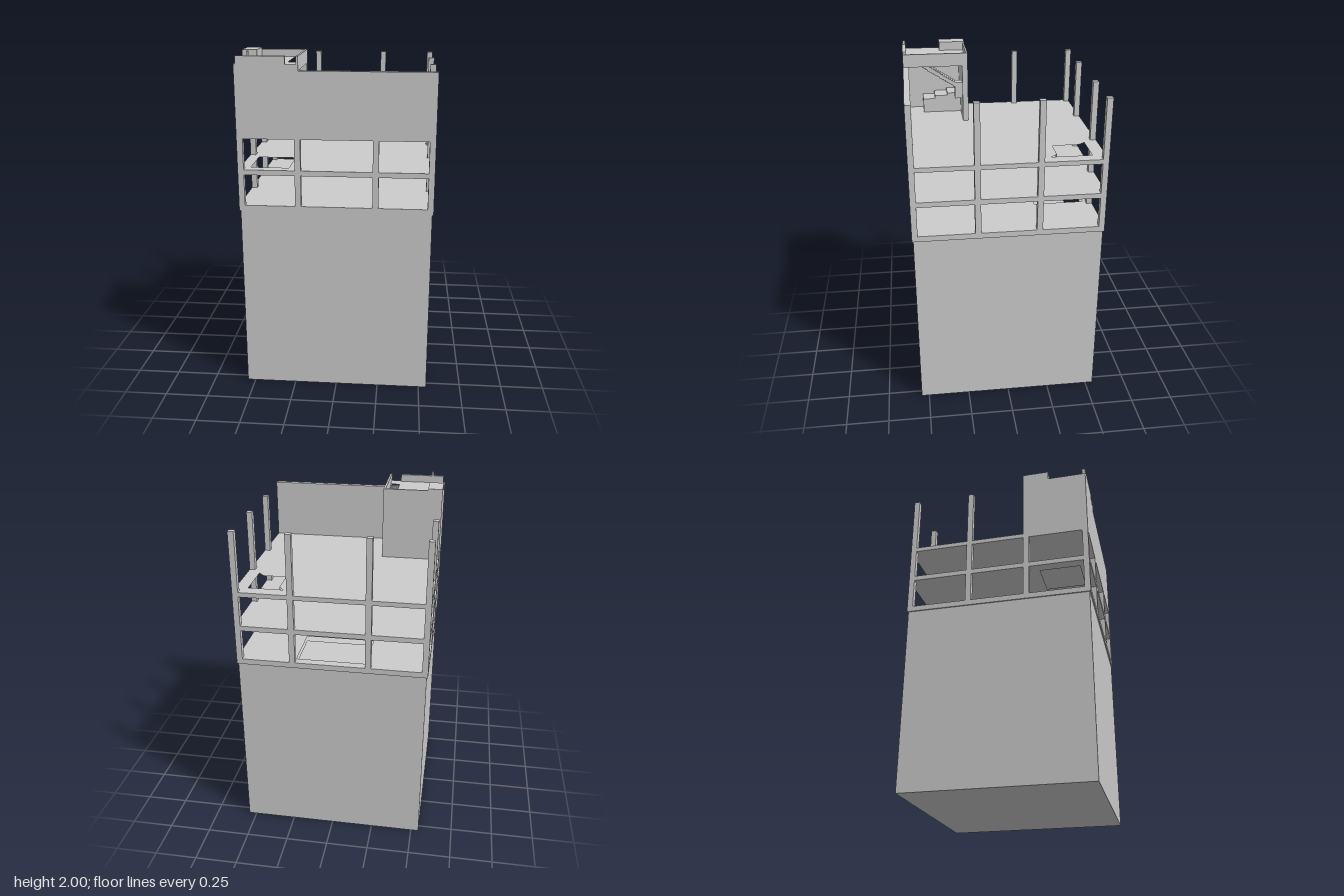
import * as THREE from 'three';

const material = new THREE.MeshStandardMaterial({ color: 0xcccccc, flatShading: true });

export function createModel() {
  const model = new THREE.Group();
  model.name = 'unfinishedBuilding';

  const add = (name, geometry, parent = model) => {
    const mesh = new THREE.Mesh(geometry, material);
    mesh.name = name;
    parent.add(mesh);
    return mesh;
  };

  // Box given by its limits on each axis
  const box = (name, x0, x1, y0, y1, z0, z1, parent) => {
    const g = new THREE.BoxGeometry(x1 - x0, y1 - y0, z1 - z0);
    g.translate((x0 + x1) / 2, (y0 + y1) / 2, (z0 + z1) / 2);
    return add(name, g, parent);
  };

  // Flat plate with holes, outlined in x and z, between two heights
  const rect = (x0, x1, z0, z1) => [[x0, z0], [x1, z0], [x1, z1], [x0, z1]];
  const plate = (name, outline, holes, y0, y1, parent) => {
    const points = (list) => list.map(([x, z]) => new THREE.Vector2(x, -z));
    const shape = new THREE.Shape(points(outline));
    holes.forEach((h) => shape.holes.push(new THREE.Path(points(h))));
    const g = new THREE.ExtrudeGeometry(shape, { depth: y1 - y0, bevelEnabled: false });
    g.rotateX(-Math.PI / 2);
    g.translate(0, y0, 0);
    return add(name, g, parent);
  };

  const E = 0.553; // outer edge of the frame
  const B = 0.546; // outer edge of the base
  const W = 0.034; // column and wall thickness

  // Solid lower storeys, with a shaft under the first deck
  const shaft = rect(-0.2, 0.21, -0.5, -0.2);
  box('base', -B, B, 0, 0.8, -B, B);
  plate('baseTop', rect(-B, B, -B, B), [shaft], 0.8, 1.1);

  // Decks with their openings
  const deck = rect(-E, E, -E, E);
  const roofHole = [[0.28, -0.475], [0.48, -0.475], [0.48, -0.24], [0.445, -0.28], [0.31, -0.28], [0.31, -0.435]];
  const cornerHole = rect(-0.49, -0.27, 0.25, 0.49);
  plate('lowerDeck', deck, [shaft], 1.1, 1.133);
  plate('middleDeck', deck, [cornerHole], 1.312, 1.342);
  plate('upperDeck', deck, [roofHole], 1.52, 1.547);

  // Columns around the perimeter
  const columns = new THREE.Group();
  columns.name = 'columns';
  model.add(columns);
  const xs = [-E, -0.23, 0.208, E - W];
  const zs = [-E, -0.193, 0.16, E - W];
  xs.forEach((x, i) => zs.forEach((z, j) => {
    if (i % 3 && j % 3) return;
    const top = j === 3 ? 1.53 : 1.897;
    box('column', x, x + W, 1.12, top, z, z + W, columns);
  }));

  // Long front wall
  box('frontWall', -E, E, 1.52, 1.897, E - W, E);

  // Corner stair house, open towards +x
  const house = new THREE.Group();
  house.name = 'stairHouse';
  model.add(house);
  const R = -0.2;
  box('sideWall', -E, -E + W, 1.547, 1.897, 0.16, E, house);
  box('rearWall', -E, R, 1.547, 1.897, 0.16, 0.16 + W, house);
  plate('houseRoof', rect(-E, R, 0.16, E), [rect(-0.27, -0.212, 0.195, 0.452)], 1.897, 1.932, house);
  box('frontParapet', -0.543, -0.272, 1.93, 1.975, 0.532, E, house);
  box('rearParapet', -E, R, 1.93, 1.975, 0.16, 0.17, house);
  box('stairParapet', -0.212, R, 1.9, 1.975, 0.16, E, house);
  box('roofBox', -E, -0.467, 1.93, 1.985, 0.16, 0.32, house);
  box('roofPost', -0.48, -0.468, 1.93, 2.0, 0.535, 0.549, house);

  // Stair flight rising to the roof
  const steps = 18;
  const run = 0.21 / steps;
  for (let i = 0; i < steps; i++) {
    const y = 1.797 + (0.13 * i) / (steps - 1);
    box('step', -0.27, -0.212, y - 0.03, y, 0.241 + i * run, 0.241 + (i + 1) * run, house);
  }
  box('landing', -0.27, -0.212, 1.69, 1.79, 0.194, 0.241, house);

  // Low blocks along the inner wall
  box('lowBlock', -0.52, -0.4, 1.547, 1.635, 0.36, 0.435, house);
  box('middleBlock', -0.52, -0.4, 1.547, 1.655, 0.28, 0.36, house);
  box('tallBlock', -0.52, -0.4, 1.547, 1.67, 0.194, 0.28, house);

  return model;
}
